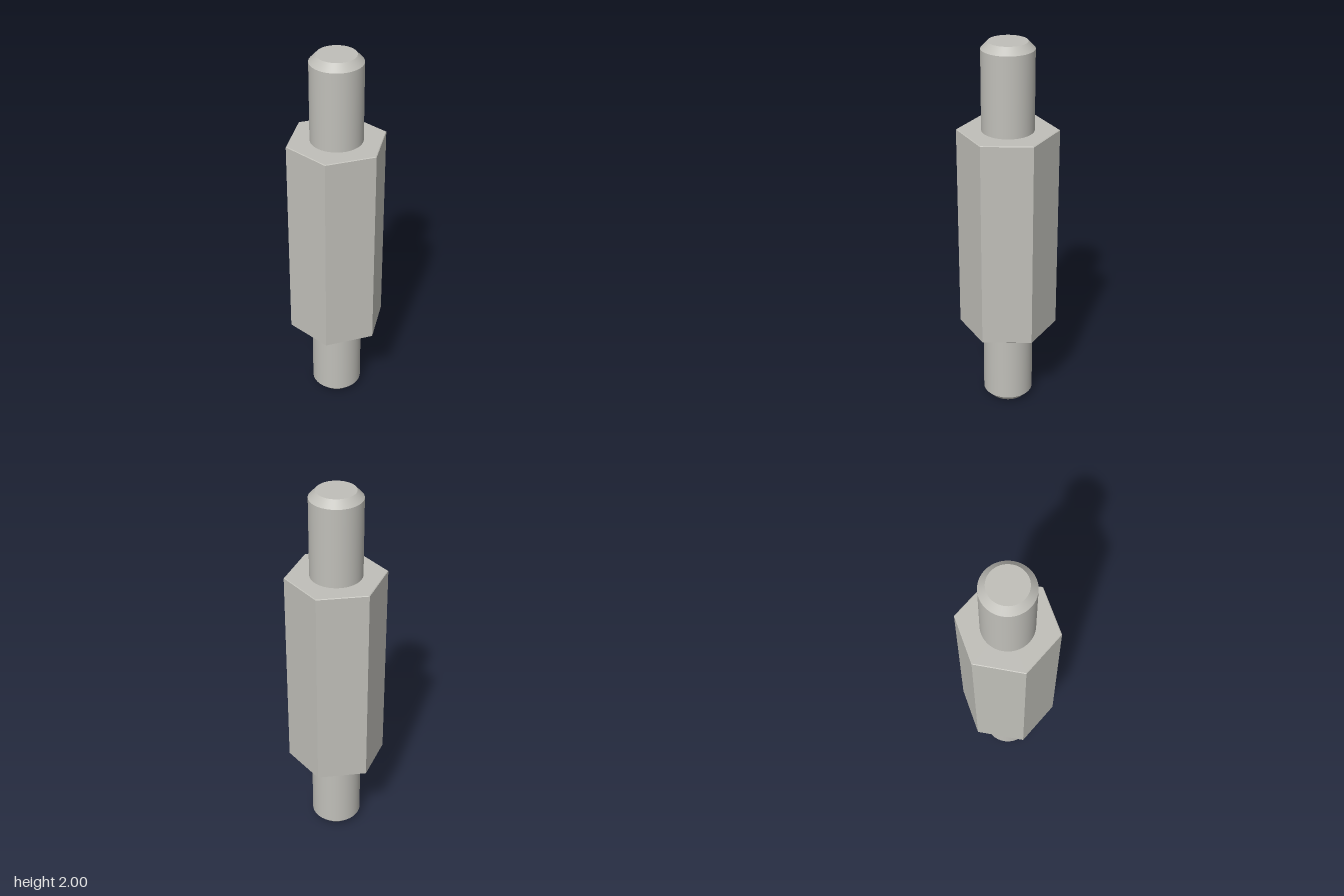
import * as THREE from 'three';

const BODY_BOTTOM = 0.45, BODY_TOP = 1.553;
const BODY_R = 0.256, BODY_EDGE_R = 0.252, BODY_BEVEL = 0.003;
const STUD_R = 0.132, TIP_R = 0.098, TIP_H = 0.036;
const STUD_LENGTH = 2 - BODY_TOP;

export function createModel() {
  const steel = new THREE.MeshStandardMaterial({ color: 0xc0bfb9 });
  steel.name = 'steel';

  const add = (parent, name, geometry, y) => {
    const mesh = new THREE.Mesh(geometry, steel);
    mesh.name = name;
    mesh.position.y = y;
    parent.add(mesh);
    return mesh;
  };

  // Six-sided tube section with flat faces and corners on the x axis
  const hexBand = (topR, bottomR, height) => {
    const g = new THREE.CylinderGeometry(topR, bottomR, height, 6, 1, true).toNonIndexed();
    g.rotateY(Math.PI / 2);
    g.computeVertexNormals();
    return g;
  };

  // Round stud with a chamfered tip, growing up from its own origin
  const makeStud = (name) => {
    const stud = new THREE.Group();
    stud.name = name;
    const shankH = STUD_LENGTH - TIP_H;
    add(stud, 'shank', new THREE.CylinderGeometry(STUD_R, STUD_R, shankH, 64, 1, true), shankH / 2);
    add(stud, 'tipChamfer', new THREE.CylinderGeometry(TIP_R, STUD_R, TIP_H, 64, 1, true), shankH + TIP_H / 2);
    add(stud, 'tipFace', new THREE.CircleGeometry(TIP_R, 64).rotateX(-Math.PI / 2), STUD_LENGTH);
    return stud;
  };

  const model = new THREE.Group();
  model.name = 'hexStandoff';

  // Hexagonal body with narrow bevels at both ends
  const body = new THREE.Group();
  body.name = 'hexBody';
  const sideH = BODY_TOP - BODY_BOTTOM - 2 * BODY_BEVEL;
  add(body, 'hexSides', hexBand(BODY_R, BODY_R, sideH), (BODY_TOP + BODY_BOTTOM) / 2);
  add(body, 'topBevel', hexBand(BODY_EDGE_R, BODY_R, BODY_BEVEL), BODY_TOP - BODY_BEVEL / 2);
  add(body, 'bottomBevel', hexBand(BODY_R, BODY_EDGE_R, BODY_BEVEL), BODY_BOTTOM + BODY_BEVEL / 2);
  add(body, 'topFace', new THREE.CircleGeometry(BODY_EDGE_R, 6).rotateX(-Math.PI / 2), BODY_TOP);
  add(body, 'bottomFace', new THREE.CircleGeometry(BODY_EDGE_R, 6).rotateX(Math.PI / 2), BODY_BOTTOM);
  model.add(body);

  // Matching studs at each end
  const upper = makeStud('upperStud');
  upper.position.y = BODY_TOP;
  const lower = makeStud('lowerStud');
  lower.position.y = BODY_BOTTOM;
  lower.rotation.x = Math.PI;
  lower.scale.y = BODY_BOTTOM / STUD_LENGTH;
  model.add(upper, lower);

  return model;
}
